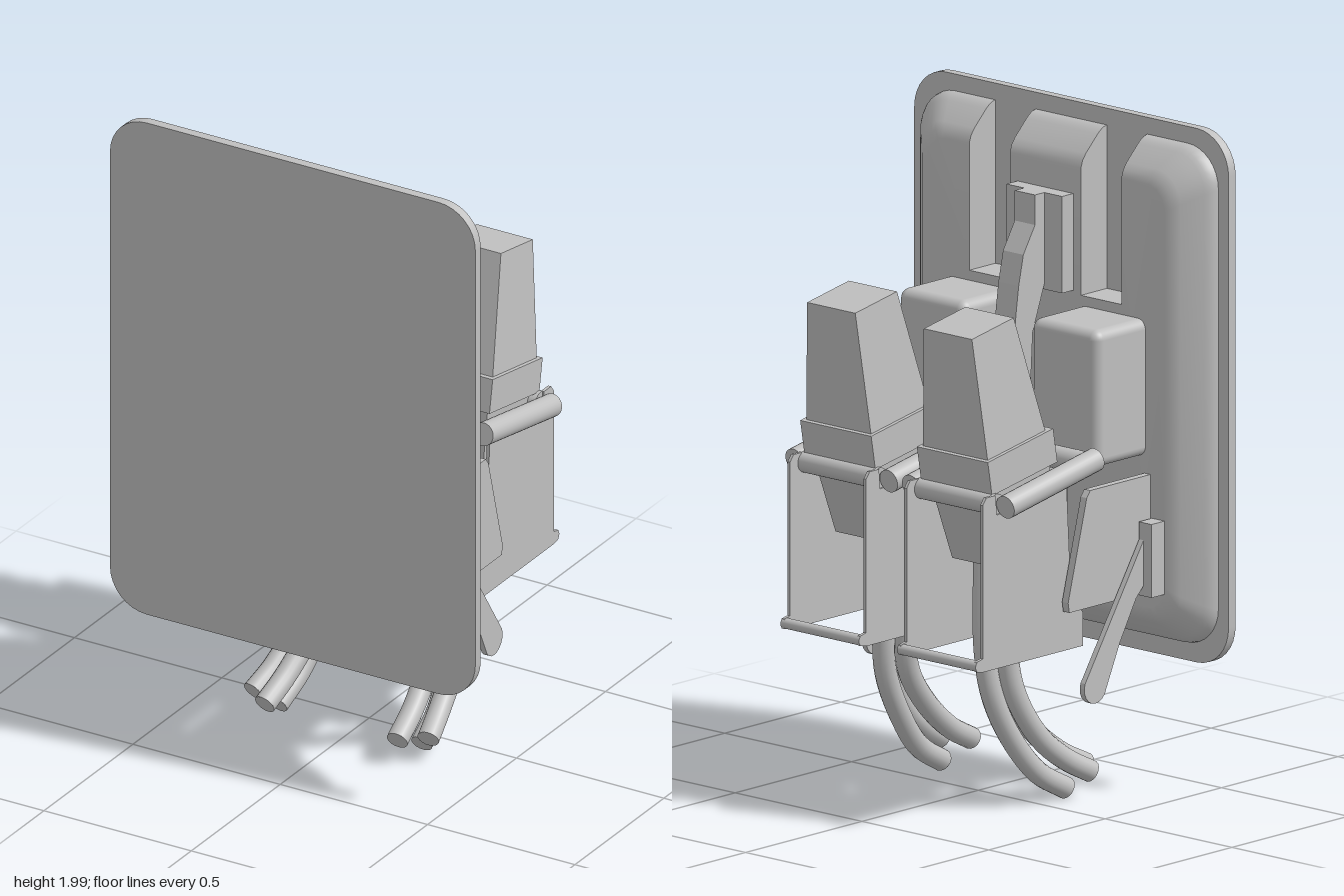
import * as THREE from 'three';
import { toCreasedNormals } from 'three/addons/utils/BufferGeometryUtils.js';
import { RoundedBoxGeometry } from 'three/addons/geometries/RoundedBoxGeometry.js';

const grey = new THREE.MeshStandardMaterial({ color: 0xc0c0c0 });
grey.name = 'light grey';

function add(parent, name, geo, x = 0, y = 0, z = 0) {
  const mesh = new THREE.Mesh(geo, grey);
  mesh.name = name;
  mesh.position.set(x, y, z);
  parent.add(mesh);
  return mesh;
}

// Side profile of [z, y] points, given thickness along x and centred there
function slab(points, width) {
  const shape = new THREE.Shape(points.map(([z, y]) => new THREE.Vector2(-z, y)));
  const geo = new THREE.ExtrudeGeometry(shape, { depth: width, bevelEnabled: false });
  return geo.translate(0, 0, -width / 2).rotateY(Math.PI / 2);
}

// Solid from counter-clockwise loops of [x, y], stacked along +z
function loft(layers) {
  const pos = [];
  const n = layers[0].loop.length;
  const put = (l, i) => pos.push(...layers[l].loop[i % n], layers[l].z);
  for (let l = 0; l < layers.length - 1; l++) {
    for (let i = 0; i < n; i++) {
      put(l, i); put(l, i + 1); put(l + 1, i + 1);
      put(l, i); put(l + 1, i + 1); put(l + 1, i);
    }
  }
  const cap = (l, flip) => {
    const pts = layers[l].loop.map(([x, y]) => new THREE.Vector2(x, y));
    for (const [a, b, c] of THREE.ShapeUtils.triangulateShape(pts, [])) {
      put(l, a); put(l, flip ? c : b); put(l, flip ? b : c);
    }
  };
  cap(0, true);
  cap(layers.length - 1, false);
  const geo = new THREE.BufferGeometry();
  geo.setAttribute('position', new THREE.Float32BufferAttribute(pos, 3));
  geo.computeVertexNormals();
  return geo;
}

// Rounded rectangle points; extra points may be placed along the top edge
function roundedLoop(w, bottom, top, r, topPoints = []) {
  const out = [];
  const arc = (cx, cy, start) => {
    for (let i = 0; i <= 8; i++) {
      const a = start + (i / 8) * Math.PI / 2;
      out.push([cx + r * Math.cos(a), cy + r * Math.sin(a)]);
    }
  };
  arc(w - r, bottom + r, -Math.PI / 2);
  arc(w - r, top - r, 0);
  out.push(...topPoints);
  arc(-w + r, top - r, Math.PI / 2);
  arc(-w + r, bottom + r, Math.PI);
  return out;
}

const rect = (x, back, front) => [[-x, -front], [x, -front], [x, -back], [-x, -back]];

function taper(y0, a, y1, b) {
  return loft([{ z: y0, loop: rect(...a) }, { z: y1, loop: rect(...b) }]).rotateX(-Math.PI / 2);
}

function rod(parent, name, from, to, r) {
  const a = new THREE.Vector3(...from), b = new THREE.Vector3(...to);
  const mesh = add(parent, name, new THREE.CylinderGeometry(r, r, a.distanceTo(b), 24));
  mesh.position.copy(a).add(b).multiplyScalar(0.5);
  mesh.quaternion.setFromUnitVectors(new THREE.Vector3(0, 1, 0), b.sub(a).normalize());
}

function cable(parent, points) {
  const curve = new THREE.CatmullRomCurve3(points.map((p) => new THREE.Vector3(...p)));
  add(parent, 'cable', new THREE.TubeGeometry(curve, 36, 0.033, 16));
  const end = add(parent, 'cableEnd', new THREE.CircleGeometry(0.033, 16));
  end.position.copy(curve.getPoint(1));
  end.lookAt(end.position.clone().add(curve.getTangent(1)));
}

function makePanel(root) {
  // Flat front plate
  const shape = new THREE.Shape(roundedLoop(0.62, 0.4, 2, 0.125).map(([x, y]) => new THREE.Vector2(x, y)));
  const plate = new THREE.ExtrudeGeometry(shape, { depth: 0.03, bevelEnabled: false });
  add(root, 'frontPlate', toCreasedNormals(plate, 0.5), 0, 0, 0.4);

  // Domed pan behind it, with two slots open at the top
  const profile = [[0.402, 0], [0.385, 0.003], [0.37, 0.012], [0.36, 0.02],
    [0.31, 0.068], [0.295, 0.088], [0.288, 0.11]];
  const layers = profile.map(([z, inset]) => {
    const top = 1.95 - inset, slot = 1.46;
    const notches = [[0.3, top], [0.3, slot], [0.14, slot], [0.14, top],
      [-0.14, top], [-0.14, slot], [-0.3, slot], [-0.3, top]];
    return { z: -z, loop: roundedLoop(0.58 - inset, 0.455 + inset, top, 0.12 - inset * 0.4, notches) };
  });
  add(root, 'backPan', toCreasedNormals(loft(layers).rotateY(Math.PI), 0.6));
}

function makeCentreLatch(root) {
  add(root, 'latchPlate', new THREE.BoxGeometry(0.22, 0.29, 0.05), 0, 1.615, 0.265);
  add(root, 'latchArm', slab([[0.25, 1.76], [0.2, 1.76], [0.2, 1.67], [0.15, 1.59], [0.13, 1.5],
    [0.12, 1.43], [0.04, 0.75], [0.12, 0.75], [0.17, 1], [0.19, 1.35], [0.245, 1.5]], 0.08));
}

function makeSide(root, s) {
  const cx = s * 0.23;
  const side = new THREE.Group();
  side.name = s > 0 ? 'leftUnit' : 'rightUnit';
  root.add(side);

  // Box fixed to the pan
  add(side, 'junctionBox', new RoundedBoxGeometry(0.265, 0.41, 0.25, 4, 0.03), s * 0.262, 1.225, 0.205);

  // Bracket plates from pan to frame
  const bracket = [[0.295, 0.97], [0.03, 0.97], [0.015, 0.95], [-0.065, 0.65], [-0.06, 0.62], [0.295, 0.62]];
  for (const x of [0.402, 0.075]) add(side, 'bracketPlate', slab(bracket, 0.024), s * x);

  // Release lever with its pad
  add(side, 'leverPad', new THREE.BoxGeometry(0.05, 0.22, 0.06), s * 0.445, 0.73, 0.262);
  const lever = [[0.24, 0.8], [-0.015, 0.41]];
  for (let i = 0; i <= 10; i++) {
    const a = 0.4 - (i / 10) * 3.3;
    lever.push([0.025 - 0.048 * Math.cos(a), 0.385 + 0.048 * Math.sin(a)]);
  }
  lever.push([0.13, 0.5], [0.2, 0.62], [0.24, 0.66]);
  add(side, 'releaseLever', slab(lever, 0.018), s * 0.43);

  // Open frame: two side walls and a lower crossbar
  const wall = [[0.03, 0.5], [0.03, 0.6], [0.015, 0.62], [-0.02, 0.64], [-0.04, 0.99], [-0.34, 0.96],
    [-0.345, 1.02], [-0.385, 1.02], [-0.4, 1], [-0.4, 0.54], [-0.425, 0.535], [-0.43, 0.52],
    [-0.425, 0.505], [-0.4, 0.5]];
  for (const dx of [-0.15, 0.15]) add(side, 'frameWall', slab(wall, 0.01), cx + dx);
  rod(side, 'lowerCrossbar', [cx - 0.155, 0.52, -0.415], [cx + 0.155, 0.52, -0.415], 0.016);

  // Ring of bars around the plug
  for (const dx of [-0.186, 0.186]) {
    rod(side, 'sideBar', [cx + dx, 1.06, 0.05], [cx + dx, 0.988, -0.337], 0.035);
  }
  rod(side, 'frontBar', [cx - 0.14, 1.04, 0.055], [cx + 0.14, 1.04, 0.055], 0.034);
  rod(side, 'rearBar', [cx - 0.15, 0.99, -0.335], [cx + 0.15, 0.99, -0.335], 0.032);

  // Tilted plug: body, collar and tapered hood
  const plug = new THREE.Group();
  plug.name = 'plug';
  plug.position.set(cx, 1.1, -0.21);
  plug.rotation.x = -0.175;
  side.add(plug);
  add(plug, 'plugBody', taper(-0.32, [0.11, -0.09, 0.09], -0.05, [0.125, -0.13, 0.125]));
  add(plug, 'plugCollar', new THREE.BoxGeometry(0.28, 0.105, 0.285), 0, -0.007, -0.004);
  add(plug, 'plugHood', taper(0.04, [0.128, -0.134, 0.118], 0.408, [0.095, -0.102, 0.08]));

  // Three cables curving forward
  const runs = [
    [[0.17, 0.84, -0.13], [0.17, 0.5, -0.13], [0.185, 0.36, -0.1], [0.2, 0.24, -0.01], [0.215, 0.14, 0.11], [0.225, 0.085, 0.215]],
    [[0.24, 0.84, -0.14], [0.24, 0.5, -0.14], [0.25, 0.36, -0.115], [0.265, 0.22, -0.03], [0.28, 0.135, 0.07], [0.297, 0.085, 0.16]],
    [[0.2, 0.84, -0.19], [0.2, 0.5, -0.19], [0.21, 0.36, -0.17], [0.22, 0.22, -0.1], [0.235, 0.1, 0], [0.245, 0.035, 0.11]],
  ];
  for (const run of runs) cable(side, run.map(([x, y, z]) => [s * x, y, z]));
}

export function createModel() {
  const root = new THREE.Group();
  root.name = 'connectorPanel';
  makePanel(root);
  makeCentreLatch(root);
  for (const s of [1, -1]) makeSide(root, s);
  return root;
}
